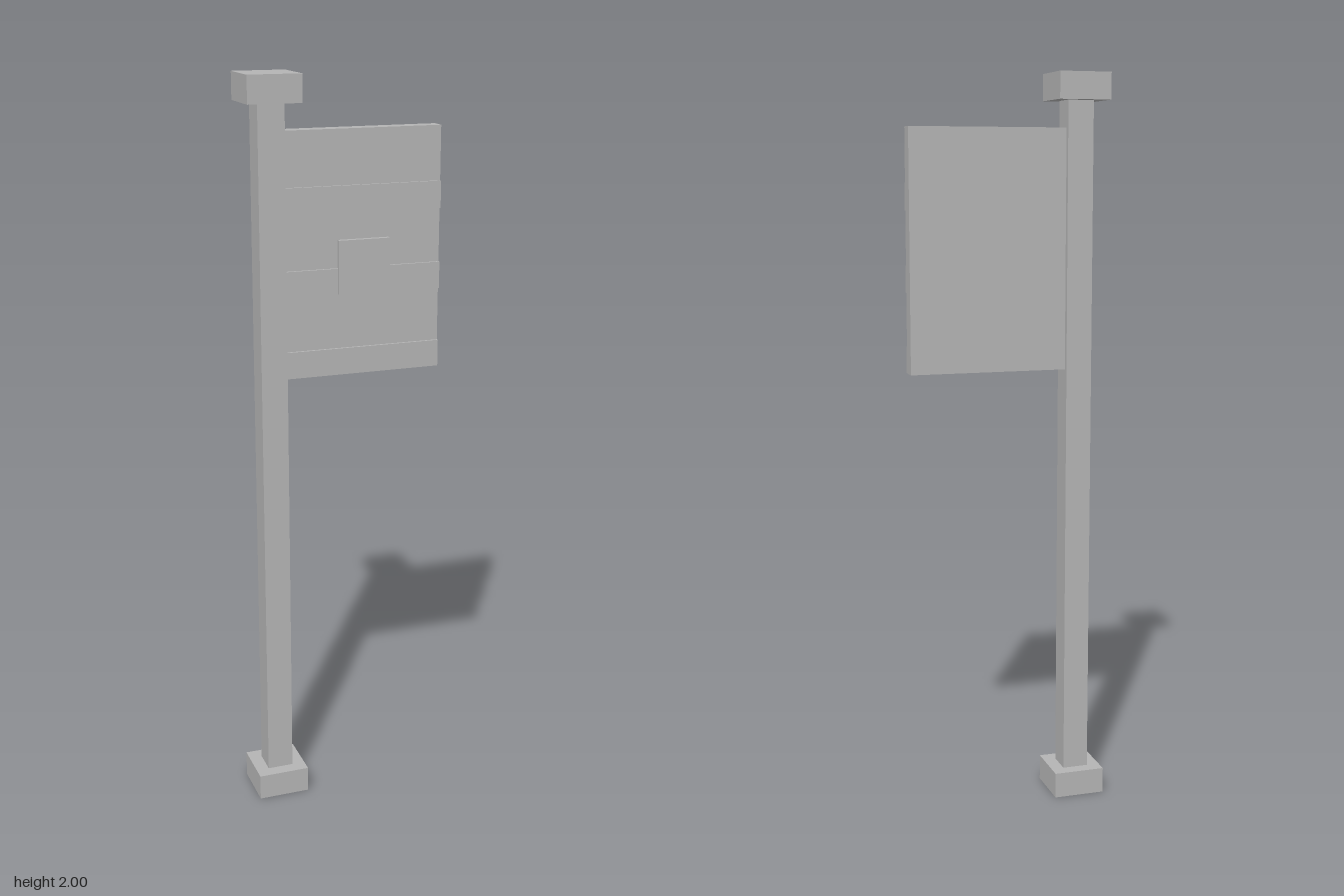
import * as THREE from 'three';

export function createModel() {
  const group = new THREE.Group();
  const grey = new THREE.MeshStandardMaterial({ color: 0xb4b4b4 });
  grey.name = 'plain grey';

  // Box given by its lower and upper corners
  const box = (name, [x0, y0, z0], [x1, y1, z1]) => {
    const mesh = new THREE.Mesh(new THREE.BoxGeometry(x1 - x0, y1 - y0, z1 - z0), grey);
    mesh.position.set((x0 + x1) / 2, (y0 + y1) / 2, (z0 + z1) / 2);
    mesh.name = name;
    group.add(mesh);
  };

  // Square pole between two square blocks
  const poleX = -0.197, poleHalf = 0.0355, blockHalf = 0.071, blockHeight = 0.071;
  box('pole', [poleX - poleHalf, blockHeight, -poleHalf], [poleX + poleHalf, 2 - blockHeight, poleHalf]);
  for (const [name, y] of [['base', 0], ['cap', 2 - blockHeight]]) {
    box(name, [poleX - blockHalf, y, -blockHalf], [poleX + blockHalf, y + blockHeight, blockHalf]);
  }

  // Flag panel with three raised stripes on the front
  const left = poleX + poleHalf, right = 0.268, bottom = 1.215, top = 1.858, front = 0.02;
  box('flagPanel', [left, bottom, -0.022], [right, top, front]);
  const pitch = (top - bottom) / 3;
  for (let i = 0; i < 3; i++) {
    const y = bottom + i * pitch;
    box('flagStripe', [left, y, front], [right, y + pitch / 3, 0.027]);
  }

  // Square emblem plate standing proud of the stripes
  box('emblemPlate', [-0.018, 1.433, front], [0.124, 1.575, 0.034]);

  return group;
}
